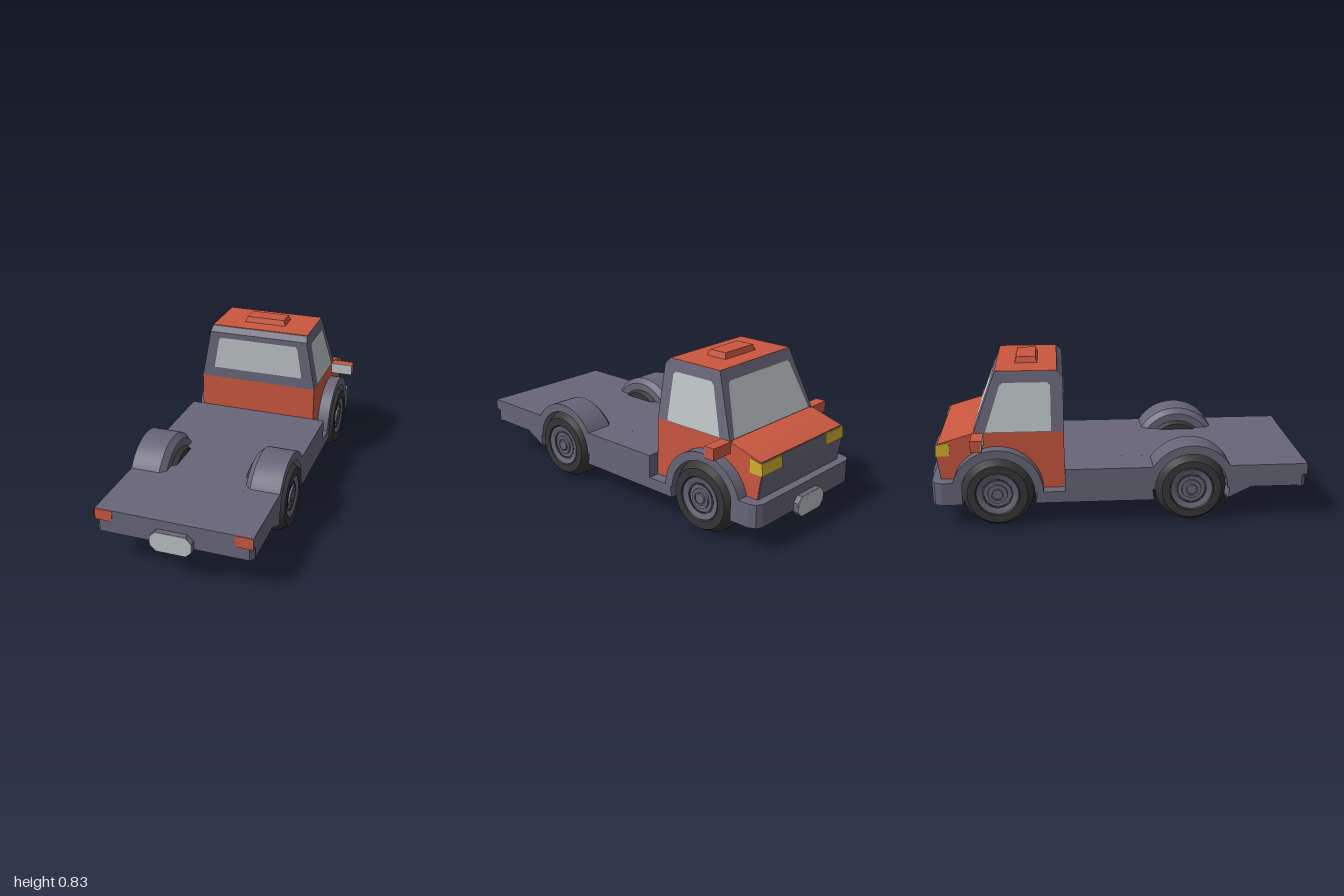
import * as THREE from 'three';
import { toCreasedNormals } from 'three/addons/utils/BufferGeometryUtils.js';

const mat = (name, color) => Object.assign(new THREE.MeshStandardMaterial({ color }), { name });

export function createModel() {
  const root = new THREE.Group();
  root.name = 'flatbedTruck';
  const grey = mat('slateGrey', 0x676577);
  const red = mat('paintRed', 0xc9573f);
  const glass = mat('paleGlass', 0xbac1c3);
  glass.side = THREE.DoubleSide;
  const rubber = mat('tyreBlack', 0x363636);
  const yellow = mat('lampYellow', 0xd1b02f);

  // The cab end points to -z; profiles use f = -z (towards the cab) and y.
  const WY = 0.187, REAR = -0.365, FRONT = 0.635;

  const add = (name, geo, material, parent = root) => {
    const m = new THREE.Mesh(geo, material);
    m.name = name;
    parent.add(m);
    return m;
  };
  const box = (name, x0, x1, y0, y1, z0, z1, material) => {
    const m = add(name, new THREE.BoxGeometry(x1 - x0, y1 - y0, z1 - z0), material);
    m.position.set((x0 + x1) / 2, (y0 + y1) / 2, (z0 + z1) / 2);
    return m;
  };
  const shape = pts => new THREE.Shape(pts.map(p => new THREE.Vector2(p[0], p[1])));
  const arc = (cf, r, a0, a1, n = 14) => Array.from({ length: n + 1 }, (_, i) => {
    const a = a0 + (a1 - a0) * i / n;
    return [cf + r * Math.cos(a), WY + r * Math.sin(a)];
  });
  const extrude = (pts, depth) => new THREE.ExtrudeGeometry(shape(pts), { depth, bevelEnabled: false });
  // side profile (f, y) extruded across x0..x1
  const sideGeo = (pts, x0, x1) =>
    toCreasedNormals(extrude(pts, x1 - x0).rotateY(Math.PI / 2).translate(x0, 0, 0), 0.5);
  // plan outline (x, f) extruded across y0..y1
  const planGeo = (pts, y0, y1) => extrude(pts, y1 - y0).rotateX(-Math.PI / 2).translate(0, y0, 0);
  // flat convex panel from 3D corners
  const panel = (name, pts, material) => {
    const g = new THREE.BufferGeometry().setFromPoints(pts.map(p => new THREE.Vector3(...p)));
    const idx = [];
    for (let i = 1; i < pts.length - 1; i++) idx.push(0, i, i + 1);
    g.setIndex(idx);
    g.computeVertexNormals();
    return add(name, g, material);
  };
  // profile [radius, x] turned about the x axis
  const turned = (pts, seg, start = 0, sweep = Math.PI * 2) => toCreasedNormals(
    new THREE.LatheGeometry(pts.map(p => new THREE.Vector2(p[0], p[1])), seg, start, sweep)
      .rotateZ(-Math.PI / 2), 0.45);

  // chassis and bed
  box('chassisCore', -0.22, 0.22, 0.125, 0.31, -0.85, 0.55, grey);
  box('bedCore', -0.22, 0.22, 0.19, 0.31, 0.5, 0.93, grey);
  const rearSide = [[-0.93, 0.31], [-0.93, 0.19], [-0.55, 0.19], [-0.55, 0.13],
    ...arc(REAR, 0.2, Math.PI + 0.29, Math.PI - 0.662)];
  const midSide = [...arc(REAR, 0.2, 0.662, -0.29),
    ...arc(FRONT, 0.2, Math.PI + 0.29, Math.PI - 0.015, 5), [0.29, 0.19], [0.29, 0.31]];
  for (const [x0, x1] of [[0.22, 0.4], [-0.4, -0.22]]) {
    add('bedSideRear', sideGeo(rearSide, x0, x1), grey);
    add('bedSideMiddle', sideGeo(midSide, x0, x1), grey);
  }
  box('bedEndTop', -0.4, 0.4, 0.25, 0.31, 0.93, 0.97, grey);
  add('bedEndLower', planGeo([[-0.4, -0.93], [-0.4, -0.945], [-0.38, -0.968], [0.38, -0.968],
    [0.4, -0.945], [0.4, -0.93]], 0.185, 0.25), grey);
  add('cabBumper', planGeo([[-0.4, 0.815], [0.4, 0.815], [0.4, 0.92], [0.385, 0.955], [0.355, 0.97],
    [-0.355, 0.97], [-0.385, 0.955], [-0.4, 0.92]], 0.13, 0.25), grey);

  // fenders and wheels
  const fenderGeo = turned([[0, 0.215], [0.208, 0.215], [0.235, 0.245], [0.235, 0.4],
    [0.19, 0.4], [0.19, 0.225], [0, 0.225]], 24, Math.PI, Math.PI);
  const tyreGeo = turned([[0, 0.19], [0.155, 0.19], [0.186, 0.25], [0.186, 0.36], [0.155, 0.413],
    [0.115, 0.413], [0.108, 0.398], [0, 0.398]], 28);
  const rimGeo = turned([[0.112, 0.395], [0.108, 0.41], [0.082, 0.404], [0.075, 0.4], [0, 0.4]], 28);
  const ringGeo = turned([[0.08, 0.4], [0.08, 0.4045], [0.07, 0.4045], [0.07, 0.4]], 28);
  const hubGeo = turned([[0.052, 0.398], [0.05, 0.41], [0.034, 0.41], [0.034, 0.404],
    [0.028, 0.404], [0.026, 0.412], [0, 0.412]], 20);
  for (const side of [1, -1]) for (const f of [REAR, FRONT]) {
    const g = new THREE.Group();
    g.name = 'wheelAndFender';
    g.position.set(0, WY, -f);
    g.rotation.y = side > 0 ? 0 : Math.PI;
    root.add(g);
    add('fender', fenderGeo, grey, g);
    add('tyre', tyreGeo, rubber, g);
    add('rim', rimGeo, grey, g);
    add('rimGroove', ringGeo, rubber, g);
    add('hub', hubGeo, grey, g);
  }

  // lower cab, hood and nose
  add('lowerCab', sideGeo([[0.29, 0.19], [0.29, 0.495], [0.75, 0.495], [0.935, 0.44], [0.94, 0.37],
    [0.92, 0.25], ...arc(FRONT, 0.215, 0.3, Math.PI)], -0.336, 0.336), red);
  add('grille', sideGeo([[0.928, 0.436], [0.94, 0.436], [0.945, 0.37], [0.925, 0.245], [0.912, 0.245],
    [0.93, 0.37]], -0.333, 0.333), grey);
  const lamp = [[0.875, 0.375], [0.949, 0.375], [0.944, 0.434], [0.875, 0.448]];
  add('headlight', sideGeo(lamp, 0.185, 0.34), yellow);
  add('headlight', sideGeo(lamp, -0.34, -0.185), yellow);

  // upper cab, narrowing towards the roof
  const width = y => 0.336 - 0.058 * (y - 0.495) / 0.305;
  const screenF = y => 0.75 - 0.115 * (y - 0.495) / 0.305;
  const upper = extrude([[0.29, 0.495], [0.29, 0.77], [0.318, 0.8], [screenF(0.8), 0.8],
    [0.75, 0.495]], 2).rotateY(Math.PI / 2).translate(-1, 0, 0);
  const pos = upper.attributes.position;
  for (let i = 0; i < pos.count; i++) pos.setX(i, pos.getX(i) * width(pos.getY(i)));
  const upperGeo = upper.toNonIndexed ? (upper.index ? upper.toNonIndexed() : upper) : upper;
  upperGeo.computeVertexNormals();
  add('upperCab', upperGeo, grey);
  box('roofPanel', -0.278, 0.278, 0.797, 0.803, -0.635, -0.32, red);

  // roof hatch
  const hatch = new THREE.BoxGeometry(0.24, 0.033, 0.12).toNonIndexed();
  const hp = hatch.attributes.position;
  for (let i = 0; i < hp.count; i++) if (hp.getY(i) > 0) {
    hp.setX(i, hp.getX(i) * 0.91);
    hp.setZ(i, hp.getZ(i) * 0.83);
  }
  hatch.computeVertexNormals();
  add('roofHatch', hatch, red).position.set(0, 0.8165, -0.48);

  // windows
  const e = 0.004;
  panel('rearWindow', [[-0.258, 0.555], [0.258, 0.555], [0.258, 0.575], [0.232, 0.725], [0.222, 0.74],
    [-0.222, 0.74], [-0.232, 0.725], [-0.258, 0.575]].map(([x, y]) => [x, y, -0.29 + e]), glass);
  panel('windshield', [[0.305, 0.5], [-0.305, 0.5], [-0.245, 0.735], [-0.23, 0.748], [0.23, 0.748],
    [0.245, 0.735]].map(([x, y]) => [x, y, -screenF(y) - e]), glass);
  for (const s of [1, -1]) {
    const pts = [[0.355, 0.5], [0.69, 0.5], [0.612, 0.73], [0.595, 0.745], [0.37, 0.745], [0.355, 0.73]]
      .map(([f, y]) => [s * (width(y) + e), y, -f]);
    panel('sideWindow', s > 0 ? pts : pts.reverse(), glass);

    // mirrors and tail lights
    const span = (a, b) => s > 0 ? [a, b] : [-b, -a];
    box('mirror', ...span(0.32, 0.46), 0.435, 0.495, -0.757, -0.704, red);
    box('mirrorGlass', ...span(0.337, 0.46), 0.435, 0.495, -0.704, -0.7, glass);
    const [a, b] = span(0.31, 0.4);
    const cut = s > 0 ? [[a, 0.262], [a + 0.012, 0.25], [b, 0.25], [b, 0.309], [a, 0.309]]
      : [[a, 0.25], [b - 0.012, 0.25], [b, 0.262], [b, 0.309], [a, 0.309]];
    add('tailLight', extrude(cut, 0.004).translate(0, 0, 0.969), red);
  }

  // number plates at both ends
  const octagon = (w, h, c) => [[-w + c, -h], [w - c, -h], [w, -h + c], [w, h - c], [w - c, h],
    [-w + c, h], [-w, h - c], [-w, -h + c]];
  for (const [y, turn] of [[0.208, 0], [0.148, Math.PI]]) {
    const g = new THREE.Group();
    g.name = 'endPlate';
    g.position.y = y;
    g.rotation.y = turn;
    root.add(g);
    add('plateMount', extrude(octagon(0.107, 0.053, 0.03), 0.037).translate(0, 0, 0.96), grey, g);
    add('plateFace', extrude(octagon(0.106, 0.052, 0.03), 0.003).translate(0, 0, 0.997), glass, g);
  }
  return root;
}
